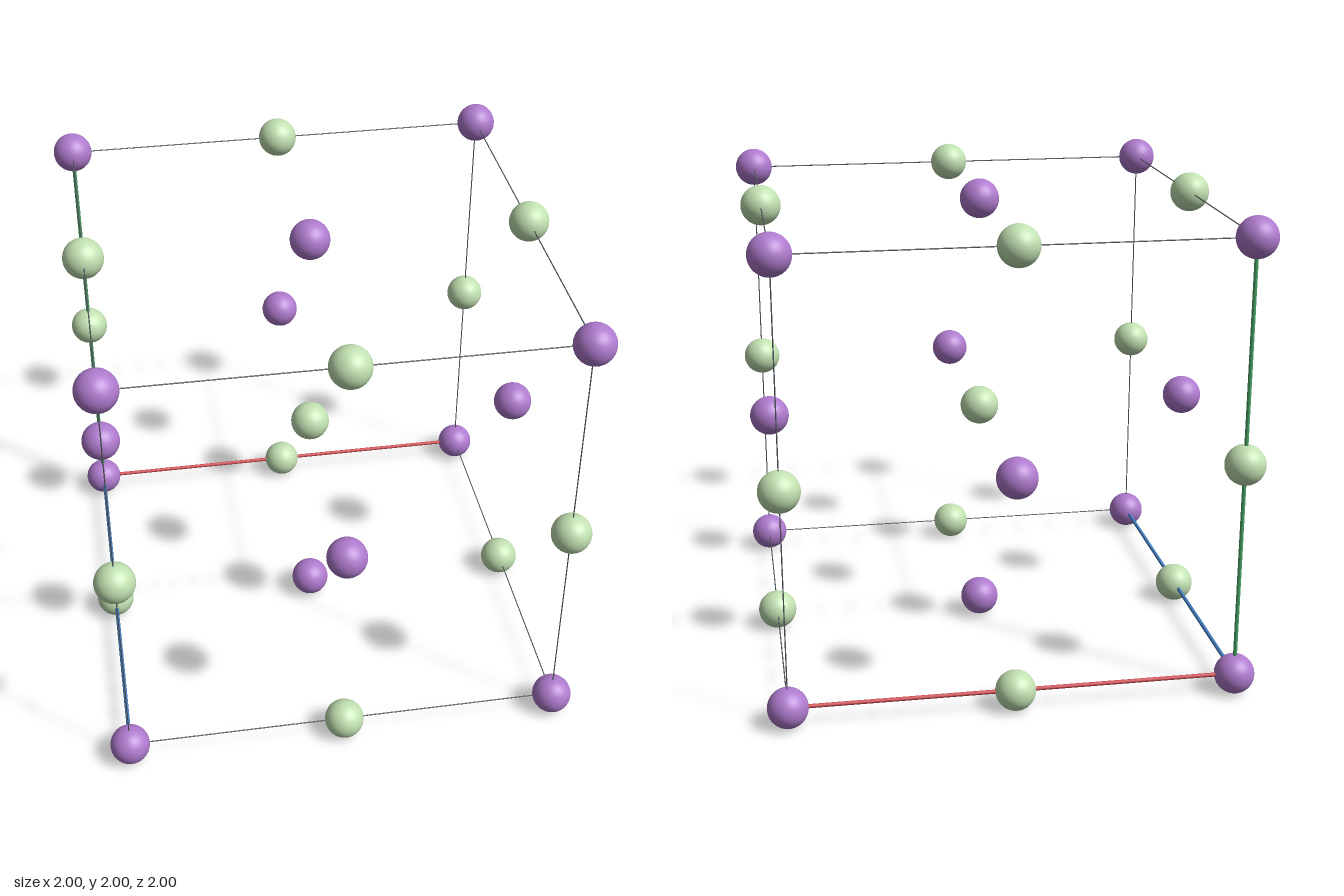
import * as THREE from 'three';

const H = 0.917;      // half the cell edge
const R = 0.083;      // ball radius
const THIN = 0.0025;  // frame rod radius
const THICK = 0.0083; // axis rod radius

function material(name, color) {
  const m = new THREE.MeshStandardMaterial({ color });
  m.name = name;
  return m;
}

export function createModel() {
  const model = new THREE.Group();
  model.name = 'crystalCell';
  const purple = material('purple', 0xae7acd);
  const green = material('paleGreen', 0xc2e1b2);
  const grey = material('darkGrey', 0x555c62);
  const axisColors = [
    material('axisRed', 0xd04a50),
    material('axisGreen', 0x4aa568),
    material('axisBlue', 0x4580c4),
  ];

  // Balls on a 3 x 3 x 3 lattice, alternating between the two kinds
  const ball = new THREE.SphereGeometry(R, 32, 24);
  for (let i = -1; i <= 1; i++)
    for (let j = -1; j <= 1; j++)
      for (let k = -1; k <= 1; k++) {
        const isPurple = (i + j + k + 3) % 2 === 0;
        const atom = new THREE.Mesh(ball, isPurple ? purple : green);
        atom.name = isPurple ? 'purpleBall' : 'greenBall';
        atom.position.set(i * H, 1 + j * H, k * H);
        model.add(atom);
      }

  // Twelve edge rods; the three from the back lower corner are coloured axes
  const thinRod = new THREE.CylinderGeometry(THIN, THIN, 2 * H, 8);
  const axisRod = new THREE.CylinderGeometry(THICK, THICK, 2 * H, 12);
  for (let axis = 0; axis < 3; axis++)
    for (const a of [-1, 1])
      for (const b of [-1, 1]) {
        const isAxis = a < 0 && b < 0;
        const rod = new THREE.Mesh(isAxis ? axisRod : thinRod, isAxis ? axisColors[axis] : grey);
        rod.name = isAxis ? 'axisRod' : 'edgeRod';
        const p = [0, 0, 0];
        p[(axis + 1) % 3] = a * H;
        p[(axis + 2) % 3] = b * H;
        rod.position.set(p[0], p[1] + 1, p[2]);
        if (axis === 0) rod.rotation.z = Math.PI / 2;
        if (axis === 2) rod.rotation.x = Math.PI / 2;
        model.add(rod);
      }

  return model;
}
